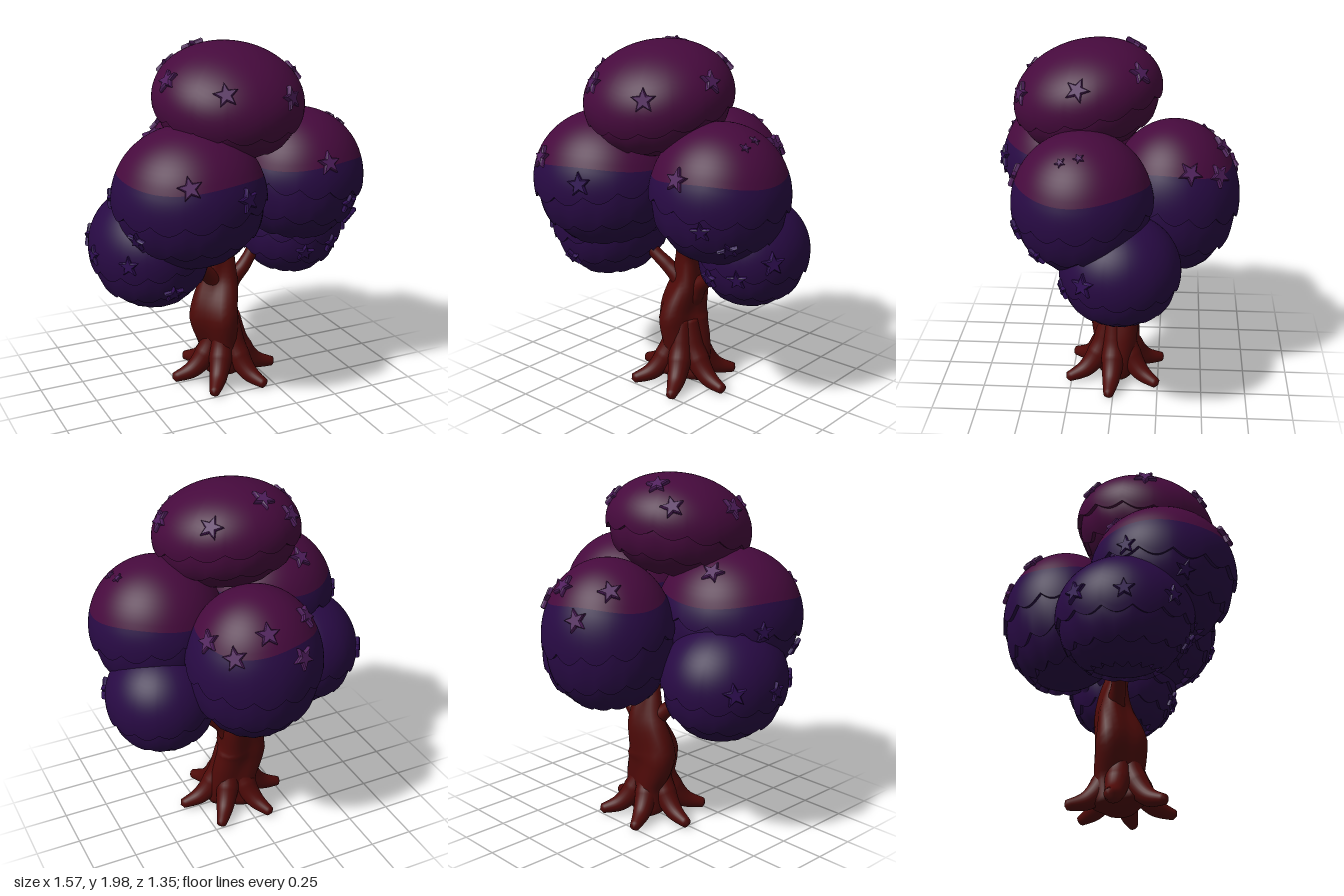
import * as THREE from 'three';
import { mergeGeometries, mergeVertices } from 'three/addons/utils/BufferGeometryUtils.js';

const mat = (name, color) => {
  const m = new THREE.MeshStandardMaterial({ color });
  m.name = name;
  return m;
};

const SPLIT = 1.35; // height where foliage changes colour

// Point on a ball at azimuth t (from +z towards +x) and polar angle phi; lower half is fuller
function onBall(b, t, phi, s = 1) {
  const sin = Math.max(Math.sin(phi), 0);
  const w = s * (phi > Math.PI / 2 ? Math.pow(sin, 0.85) : sin);
  const dz = b.r[2] * w * Math.cos(t);
  return [b.c[0] + b.r[0] * w * Math.sin(t), b.c[1] + b.r[1] * s * Math.cos(phi) - b.lean * dz, b.c[2] + dz];
}

// One strip of a foliage ball between two polar-angle curves
function band(b, top, bottom, sTop, sBottom, rows) {
  const cols = 112, pos = [], index = [];
  for (let i = 0; i <= rows; i++) {
    const f = i / rows;
    for (let j = 0; j < cols; j++) {
      const t = (j / cols) * Math.PI * 2;
      pos.push(...onBall(b, t, top(t) + (bottom(t) - top(t)) * f, sTop + (sBottom - sTop) * f));
      if (i === rows) continue;
      const a = i * cols + j, d = i * cols + (j + 1) % cols;
      index.push(a, a + cols, d + cols, a, d + cols, d);
    }
  }
  const g = new THREE.BufferGeometry();
  g.setAttribute('position', new THREE.Float32BufferAttribute(pos, 3));
  g.setIndex(index);
  g.computeVertexNormals();
  return g;
}

// Foliage ball: dome with overlapping scalloped hems, split by colour at SPLIT
function foliage(b, upperMat, lowerMat) {
  const group = new THREE.Group();
  group.name = b.name;
  const out = Math.atan2(b.c[0], b.c[2]);
  const hems = [0, 1, 2].map(k => t => b.hem + 0.48 * k - 0.03 + 0.15 * Math.cos(t - out) +
    0.12 * Math.abs(Math.sin(7 * t + k * Math.PI / 2)));
  const cosSplit = (SPLIT - b.c[1]) / b.r[1];
  const pole = () => 0, base = () => Math.PI;
  const upper = [], lower = [];
  const rest = cosSplit <= -1 ? upper : lower;
  if (Math.abs(cosSplit) < 1) {
    const cut = t => Math.acos(cosSplit) + 0.04 * Math.sin(3 * t + b.c[0] * 9);
    upper.push(band(b, pole, cut, 1, 1, 14));
    lower.push(band(b, cut, hems[0], 1, 1.015, 8));
  } else {
    rest.push(band(b, pole, hems[0], 1, 1.015, 20));
  }
  hems.forEach((h, k) => {
    const inner = 0.96 - 0.01 * k;
    rest.push(band(b, h, h, k ? 1.01 : 1.015, inner, 1)); // hem lip
    rest.push(band(b, h, hems[k + 1] ?? base, inner, hems[k + 1] ? 1.01 : inner, 8));
  });
  for (const [list, m, name] of [[upper, upperMat, 'upperLeaves'], [lower, lowerMat, 'lowerLeaves']]) {
    if (!list.length) continue;
    const mesh = new THREE.Mesh(mergeGeometries(list), m);
    mesh.name = name;
    group.add(mesh);
  }
  return group;
}

// Tapered limb along a curve, with optional twisting ridges
function limb(name, points, radii, material, ridge = 0, twist = 0) {
  const curve = new THREE.CatmullRomCurve3(points.map(p => new THREE.Vector3(...p)));
  const n = 36, sides = 24;
  const g = new THREE.TubeGeometry(curve, n, 1, sides);
  const p = g.attributes.position, v = new THREE.Vector3();
  for (let i = 0; i <= n; i++) {
    const c = curve.getPointAt(i / n);
    const x = (i / n) * (radii.length - 1), k = Math.min(Math.floor(x), radii.length - 2);
    const r0 = i === 0 || i === n ? 0 : THREE.MathUtils.lerp(radii[k], radii[k + 1], x - k);
    for (let j = 0; j <= sides; j++) {
      const a = (j / sides) * Math.PI * 2;
      const r = r0 * (1 + ridge * Math.cos(3 * a + twist * i / n));
      const id = i * (sides + 1) + j;
      v.fromBufferAttribute(p, id).sub(c).multiplyScalar(r).add(c);
      p.setXYZ(id, v.x, v.y, v.z);
    }
  }
  g.deleteAttribute('uv');
  g.deleteAttribute('normal');
  const merged = mergeVertices(g, 1e-5);
  merged.computeVertexNormals();
  const mesh = new THREE.Mesh(merged, material);
  mesh.name = name;
  return mesh;
}

// Chunky five-pointed blossom
function blossomGeometry() {
  const shape = new THREE.Shape();
  for (let i = 0; i < 10; i++) {
    const a = i * Math.PI / 5, r = i % 2 ? 0.023 : 0.058;
    shape[i ? 'lineTo' : 'moveTo'](r * Math.sin(a), r * Math.cos(a));
  }
  return new THREE.ExtrudeGeometry(shape, {
    depth: 0.014, bevelEnabled: true, bevelSize: 0.006, bevelThickness: 0.008, bevelSegments: 1
  });
}

export function createModel() {
  const tree = new THREE.Group();
  tree.name = 'tree';
  const bark = mat('bark', 0x4e0a08);
  const plum = mat('plumLeaves', 0x460a3d);
  const indigo = mat('indigoLeaves', 0x280a44);
  const lilac = mat('lilacBlossom', 0x4f1e5c);
  const violet = mat('violetBlossom', 0x300f54);

  // Winding trunk with twisting ridges
  tree.add(limb('trunk',
    [[0.03, 0.02, 0], [0.04, 0.2, -0.02], [0, 0.4, -0.015], [0.035, 0.6, -0.045], [0.05, 0.8, -0.02], [0.12, 0.96, 0.03], [0.19, 1.1, 0.05]],
    [0.14, 0.125, 0.14, 0.105, 0.062, 0.055, 0.05], bark, 0.16, 6));

  // Six roots flowing out of the trunk
  for (let i = 0; i < 6; i++) {
    const a = 0.08 + i * Math.PI / 3;
    const at = (d, y) => [0.04 + 0.32 * d * Math.cos(a), y, 0.31 * d * Math.sin(a)];
    tree.add(limb('root', [at(0.12, 0.4), at(0.27, 0.2), at(0.58, 0.075), at(1, 0.03)],
      [0.05, 0.062, 0.068, 0.05, 0.025], bark));
  }

  // Branches forking from the trunk into the foliage
  const branchRadii = [0.05, 0.06, 0.042, 0.034, 0.03];
  tree.add(limb('branch', [[0.03, 0.42, -0.03], [0, 0.58, -0.03], [-0.09, 0.68, 0], [-0.16, 0.74, 0.02], [-0.27, 0.86, 0.05]], branchRadii, bark));
  tree.add(limb('branch', [[0.03, 0.4, -0.03], [0.1, 0.57, -0.04], [0.18, 0.65, -0.04], [0.24, 0.75, -0.04], [0.28, 0.88, -0.05]], branchRadii, bark));

  // Foliage ball with blossoms spread over an arc, one per polar angle given
  const star = blossomGeometry();
  const forward = new THREE.Vector3(0, 0, 1);
  function addBall(name, c, r, hem, lean, from, to, polars) {
    const ball = { name, c, r, hem, lean };
    const group = foliage(ball, plum, indigo);
    const centre = new THREE.Vector3(...c), radii = new THREE.Vector3(...r);
    polars.forEach((phi, i) => {
      const t = from + (to - from) * i / (polars.length - 1);
      const size = phi < 0.7 ? 0.45 : phi > 1.5 ? 0.85 : 1;
      const position = new THREE.Vector3(...onBall(ball, t, phi));
      const mesh = new THREE.Mesh(star, position.y > 1.3 ? lilac : violet);
      mesh.name = 'blossom';
      mesh.position.copy(position);
      const normal = position.sub(centre).divide(radii).divide(radii).normalize();
      mesh.quaternion.setFromUnitVectors(forward, normal);
      mesh.rotateZ(i * 1.3);
      mesh.scale.setScalar(size);
      group.add(mesh);
    });
    tree.add(group);
  }
  addBall('crownTop', [-0.01, 1.69, 0.15], [0.4, 0.29, 0.395], 1.75, 0.12, -2.45, 3.49, [1.15, 1.1, 1.12, 1.27, 1.15, 1.1, 0.72]);
  addBall('crownFrontRight', [-0.29, 1.23, 0.27], [0.405, 0.37, 0.395], 1.6, 0, -2.75, 0.4, [0.75, 1.6, 2, 1.18, 1.43]);
  addBall('crownFrontLeft', [0.41, 1.24, 0.15], [0.37, 0.365, 0.365], 1.6, 0, 0, 1.6, [1.2, 1.87, 2.2, 0.69, 0.6]);
  addBall('crownBack', [0.05, 1.15, -0.32], [0.365, 0.415, 0.355], 1.55, 0, 1.85, 4.03, [1, 1.1, 0.8, 1.2, 0.8]);
  addBall('crownLowLeft', [0.48, 0.89, -0.05], [0.3, 0.295, 0.315], 1.7, 0, -0.2, 1, [1.9, 1.8, 1.5]);
  addBall('crownLowRight', [-0.44, 0.92, 0.08], [0.325, 0.325, 0.36], 1.7, 0, -2.2, 0, [1.5, 1.57, 1.57, 2.1]);
  return tree;
}
